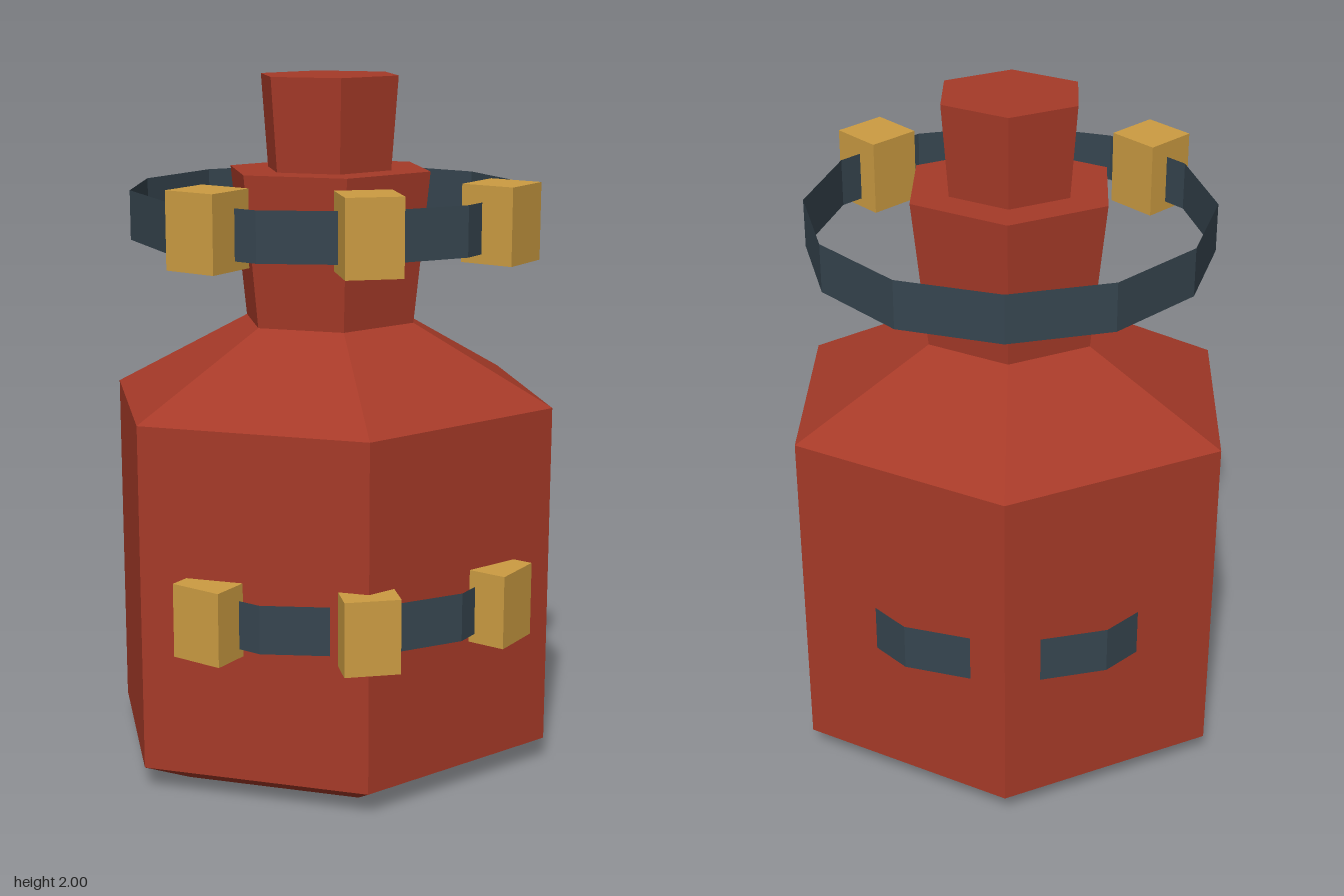
import * as THREE from 'three';

const CENTER_Z = -0.03;

export function createModel() {
  const model = new THREE.Group();
  model.name = 'bottle';

  const red = new THREE.MeshStandardMaterial({ color: 0xa63a28, flatShading: true });
  red.name = 'brick red';
  const slate = new THREE.MeshStandardMaterial({ color: 0x36454f, flatShading: true, side: THREE.DoubleSide });
  slate.name = 'slate band';
  const gold = new THREE.MeshStandardMaterial({ color: 0xcc9c42, flatShading: true });
  gold.name = 'gold';

  const add = (name, geometry, material, x, y, z) => {
    const mesh = new THREE.Mesh(geometry, material);
    mesh.name = name;
    mesh.position.set(x, y, z);
    model.add(mesh);
    return mesh;
  };

  // Six-sided turned shape, corner towards the front, widened in x
  const hexLathe = (profile) => {
    const points = profile.map(([r, y]) => new THREE.Vector2(r, y));
    return new THREE.LatheGeometry(points, 6).scale(1.15, 1, 1);
  };

  // Body with bevelled foot, sloped shoulder and flared neck
  add('body', hexLathe([
    [0, 0], [0.457, 0], [0.593, 0.07], [0.593, 1.075],
    [0.226, 1.3], [0.267, 1.735], [0, 1.735],
  ]), red, 0, 0, CENTER_Z);

  // Stopper
  add('stopper', hexLathe([[0, 1.73], [0.164, 1.73], [0.182, 2], [0, 2]]), red, 0, 0, CENTER_Z);

  // Two open bands, each with three square studs at the front
  const bandGeometry = new THREE.CylinderGeometry(0.57, 0.57, 0.14, 12, 1, true);
  const studGeometry = new THREE.BoxGeometry(0.156, 0.212, 0.156);
  const studs = [['leftStud', 0.4, 0.37, Math.PI / 4], ['frontStud', 0, 0.538, 0], ['rightStud', -0.4, 0.37, -Math.PI / 4]];
  for (const [level, y] of [['lower', 0.535], ['upper', 1.615]]) {
    add(`${level} band`, bandGeometry, slate, 0, y, CENTER_Z);
    for (const [name, x, z, turn] of studs) {
      add(`${level} ${name}`, studGeometry, gold, x, y + 0.01, z).rotation.y = turn;
    }
  }
  return model;
}
